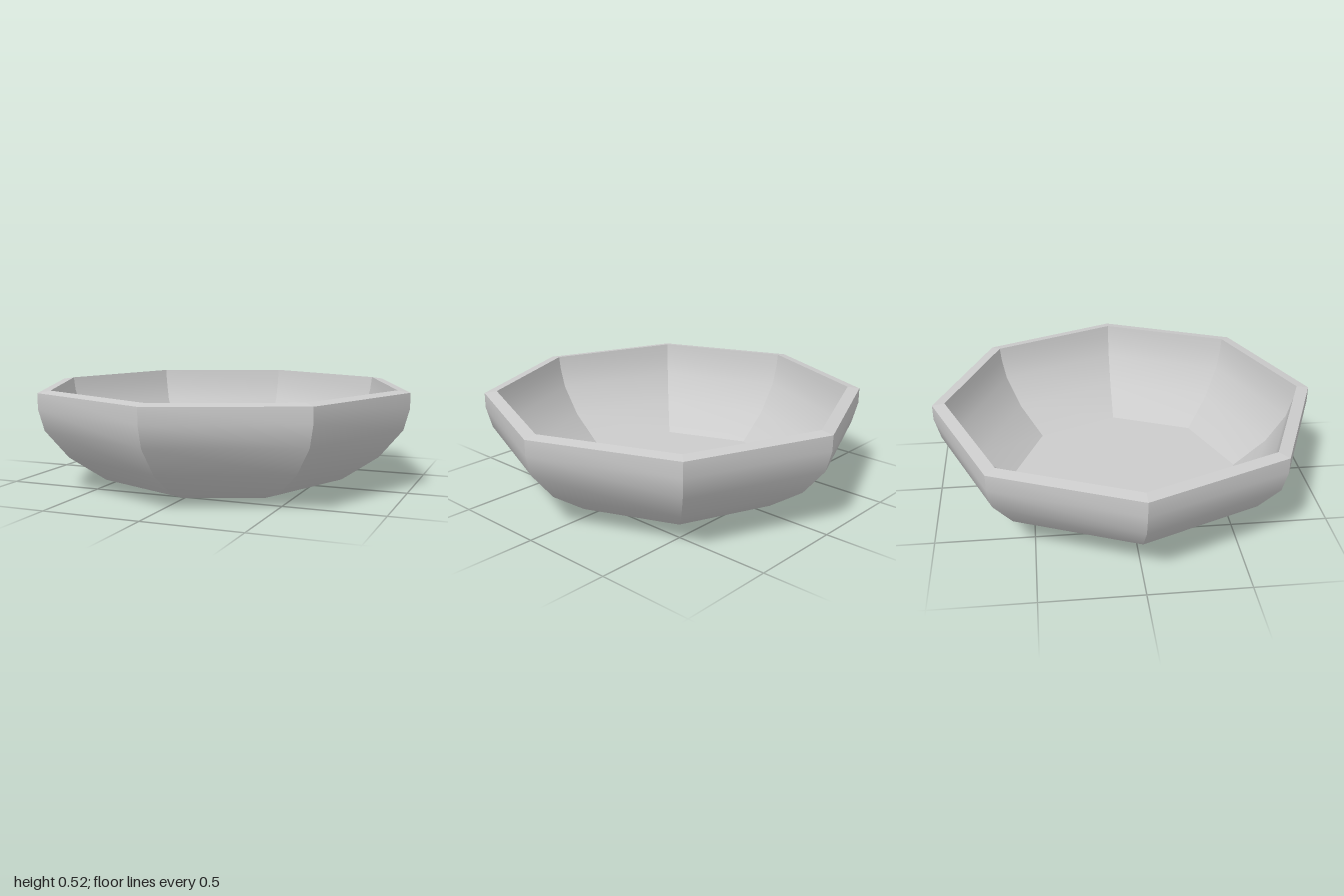
import * as THREE from 'three';
import { mergeGeometries } from 'three/addons/utils/BufferGeometryUtils.js';

const SIDES = 8;

// Eight flat panels: smooth along the profile, sharp at the corners between panels.
function facetedLathe(profile) {
  const points = profile.map(([r, y]) => new THREE.Vector2(r, y));
  const step = (Math.PI * 2) / SIDES;
  const panels = [];
  for (let i = 0; i < SIDES; i++) {
    const panel = new THREE.LatheGeometry(points, 1, i * step, step);
    panel.computeVertexNormals();
    panels.push(panel);
  }
  return mergeGeometries(panels);
}

export function createModel() {
  const group = new THREE.Group();
  group.name = 'bowl';
  const material = new THREE.MeshStandardMaterial({ color: 0xcccccc });

  // Profiles as [radius, height], each ordered so its faces look out of the solid.
  const parts = {
    base: [[0, 0], [0.52, 0]],
    outerWall: [[0.52, 0], [0.66, 0.045], [0.85, 0.175], [0.97, 0.32], [1, 0.43], [1, 0.51]],
    rim: [[1, 0.51], [0.935, 0.52]],
    innerWall: [[0.935, 0.52], [0.925, 0.45], [0.893, 0.343], [0.79, 0.19], [0.62, 0.045]],
    floor: [[0.62, 0.045], [0, 0.045]],
  };

  for (const [name, profile] of Object.entries(parts)) {
    const mesh = new THREE.Mesh(facetedLathe(profile), material);
    mesh.name = name;
    group.add(mesh);
  }
  return group;
}
